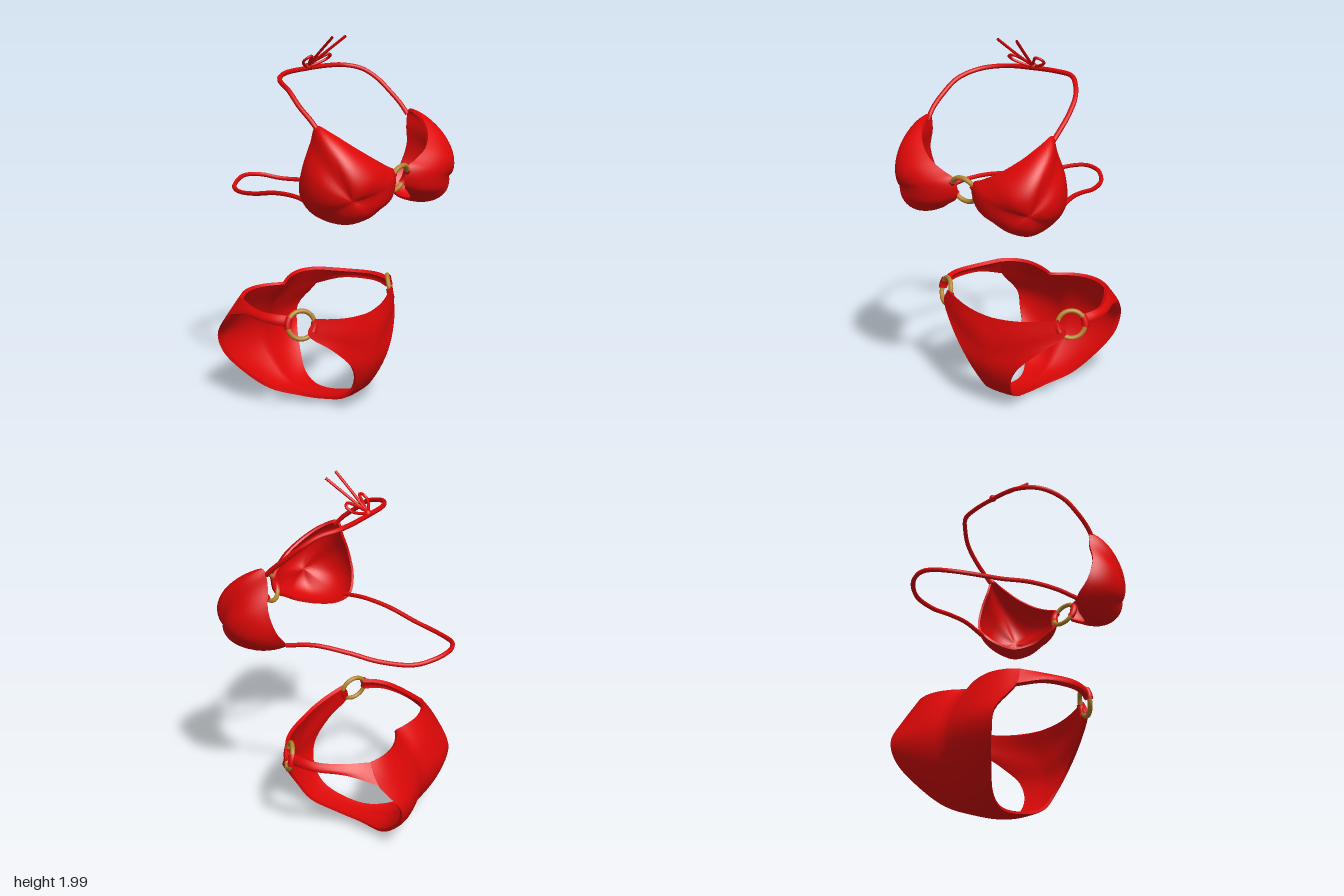
import * as THREE from 'three';
import { mergeGeometries, toCreasedNormals } from 'three/addons/utils/BufferGeometryUtils.js';

const V = (p) => new THREE.Vector3(...p);
const red = new THREE.MeshStandardMaterial({ color: 0xdd0707, side: THREE.DoubleSide });
red.name = 'red fabric';
const brass = new THREE.MeshStandardMaterial({ color: 0xb5832c });
brass.name = 'brass';

// Quad surface through rows of points
function grid(rows) {
  const n = rows[0].length, pos = [], idx = [];
  rows.forEach((r) => r.forEach((p) => pos.push(p.x, p.y, p.z)));
  for (let i = 0; i < rows.length - 1; i++)
    for (let j = 0; j < n - 1; j++) {
      const a = i * n + j, b = a + n;
      idx.push(a, b, a + 1, b, b + 1, a + 1);
    }
  const g = new THREE.BufferGeometry();
  g.setAttribute('position', new THREE.Float32BufferAttribute(pos, 3));
  g.setIndex(idx);
  return g;
}

// Cloth with thickness: outer face, inner face shrunk towards a centre, and rims
function shell(rows, centre, k) {
  const inner = rows.map((r) => r.map((p) => p.clone().sub(centre).multiplyScalar(k).add(centre)));
  const last = rows.length - 1, col = rows[0].length - 1;
  const parts = [
    grid(rows), grid(inner.map((r) => [...r].reverse())),
    grid([inner[0], rows[0]]), grid([rows[last], inner[last]]),
    grid(rows.map((r, i) => [inner[i][0], r[0]])),
    grid(rows.map((r, i) => [r[col], inner[i][col]])),
  ];
  return toCreasedNormals(mergeGeometries(parts), 0.8);
}

function mesh(name, geo, mat, parent) {
  const m = new THREE.Mesh(geo, mat);
  m.name = name;
  parent.add(m);
  return m;
}

function cord(name, pts, r, parent, closed = false) {
  const curve = new THREE.CatmullRomCurve3(pts.map(V), closed);
  return mesh(name, new THREE.TubeGeometry(curve, pts.length * 6, r, 8, closed), red, parent);
}

// Brass ring with fabric sleeves wrapped round it at the given angles
function ring(name, at, normal, angles, arc, parent) {
  const g = new THREE.Group();
  g.name = name;
  g.position.set(...at);
  g.quaternion.setFromUnitVectors(new THREE.Vector3(0, 0, 1), V(normal).normalize());
  mesh('ringMetal', new THREE.TorusGeometry(0.072, 0.0125, 10, 32), brass, g);
  for (const a of angles)
    mesh('ringSleeve', new THREE.TorusGeometry(0.072, 0.019, 10, 10, arc), red, g).rotation.z = a - arc / 2;
  parent.add(g);
}

// Cup opening, measured from the middle of the top
const cupEdge = [
  [0.39, 1.6, 0.28], [0.372, 1.57, 0.36], [0.32, 1.51, 0.44], [0.22, 1.437, 0.5], [0.12, 1.387, 0.505],
  [0.06, 1.36, 0.5], [0.045, 1.31, 0.495], [0.06, 1.25, 0.485], [0.12, 1.21, 0.465],
  [0.19, 1.165, 0.435], [0.27, 1.13, 0.35], [0.31, 1.14, 0.25], [0.35, 1.18, 0.19],
  [0.42, 1.27, 0.2], [0.437, 1.4, 0.235], [0.4, 1.52, 0.255],
];
function cup(side) {
  const place = (p) => new THREE.Vector3(-0.02 + side * p.x, p.y, p.z + 0.05 * side * p.x);
  const curve = new THREE.CatmullRomCurve3(cupEdge.map(V), true);
  const c = new THREE.Vector3(0.27, 1.33, 0.35), d = new THREE.Vector3(0.145, -0.07, 0.168);
  const rows = [];
  for (let i = 0; i <= 64; i++) {
    const b = curve.getPoint(i / 64).sub(c), row = [];
    for (let j = 0; j <= 14; j++) {
      const a = (j / 14) * Math.PI / 2;
      row.push(place(c.clone().addScaledVector(b, Math.cos(a)).addScaledVector(d, Math.sin(a))));
    }
    rows.push(row);
  }
  return shell(rows, place(c), 0.94);
}

// Brief stations from front waist to back waist: centre, middle and leg edge
const stations = [
  [[0, 0.555, 0.3], [0.19, 0.57, 0.28], [0.36, 0.6, 0.215]],
  [[0, 0.45, 0.325], [0.2, 0.49, 0.295], [0.4, 0.525, 0.2]],
  [[0, 0.36, 0.335], [0.14, 0.39, 0.315], [0.29, 0.42, 0.275]],
  [[0, 0.27, 0.335], [0.09, 0.28, 0.328], [0.17, 0.3, 0.318]],
  [[0, 0.17, 0.295], [0.055, 0.17, 0.293], [0.105, 0.18, 0.29]],
  [[0, 0.075, 0.215], [0.043, 0.076, 0.215], [0.085, 0.08, 0.215]],
  [[0, 0.02, 0.05], [0.035, 0.021, 0.05], [0.07, 0.027, 0.05]],
  [[0, 0.006, -0.1], [0.045, 0.007, -0.1], [0.085, 0.015, -0.1]],
  [[0, 0.035, -0.25], [0.08, 0.03, -0.25], [0.16, 0.045, -0.25]],
  [[0, 0.125, -0.35], [0.13, 0.12, -0.365], [0.25, 0.145, -0.36]],
  [[0, 0.24, -0.42], [0.18, 0.24, -0.445], [0.325, 0.265, -0.44]],
  [[0, 0.35, -0.435], [0.2, 0.36, -0.467], [0.355, 0.37, -0.455]],
  [[0, 0.48, -0.39], [0.22, 0.49, -0.415], [0.4, 0.52, -0.345]],
  [[0, 0.62, -0.275], [0.2, 0.633, -0.335], [0.365, 0.625, -0.28]],
];
function briefPanel() {
  const [c, m, e] = [0, 1, 2].map((k) => new THREE.CatmullRomCurve3(stations.map((s) => V(s[k]))));
  const n = stations.length - 1, rows = [];
  // Sample by station so the three curves stay in step
  for (let i = 0; i <= n * 5; i++) {
    const t = i / (n * 5), [a, b, d] = [c, m, e].map((q) => q.getPoint(t)), row = [];
    for (let j = -10; j <= 10; j++) {
      const u = Math.abs(j) / 10;
      const p = a.clone().multiplyScalar((1 - u) * (1 - 2 * u))
        .addScaledVector(b, 4 * u * (1 - u)).addScaledVector(d, u * (2 * u - 1));
      p.x *= Math.sign(j);
      row.push(p);
    }
    rows.push(row);
  }
  return rows;
}

// Hip band: upper and lower edges running from the back panel to the ring
const hipTop = [[0.365, 0.625, -0.28], [0.43, 0.62, -0.16], [0.475, 0.62, -0.03], [0.472, 0.622, 0.05], [0.45, 0.62, 0.12]];
const hipLow = [[0.4, 0.52, -0.345], [0.455, 0.57, -0.19], [0.5, 0.577, -0.03], [0.495, 0.575, 0.05], [0.468, 0.565, 0.125]];
function hipBand(side) {
  const [a, b] = [hipTop, hipLow].map((l) => new THREE.CatmullRomCurve3(l.map(V)));
  const rows = [];
  for (let i = 0; i <= 24; i++) {
    const p = a.getPoint(i / 24), q = b.getPoint(i / 24), row = [];
    // The band bows outwards away from its seam
    const bow = 0.012 * Math.min(1, i / 8);
    for (let j = 0; j <= 4; j++) {
      const v = p.clone().lerp(q, j / 4);
      v.x = side * (v.x + bow * Math.sin((j / 4) * Math.PI));
      row.push(v);
    }
    rows.push(row);
  }
  return rows;
}

export function createModel() {
  const model = new THREE.Group();
  const top = new THREE.Group(), bottom = new THREE.Group();
  top.name = 'bikiniTop';
  bottom.name = 'bikiniBottom';
  model.add(top, bottom);

  // Cups and centre ring
  mesh('leftCup', cup(1), red, top);
  mesh('rightCup', cup(-1), red, top);
  ring('centreRing', [-0.025, 1.308, 0.488], [0, -0.35, 0.94], [0, Math.PI], 1.2, top);

  // Neck strap and back strap
  cord('neckStrap', [
    [-0.41, 1.57, 0.28], [-0.412, 1.62, 0.235], [-0.405, 1.68, 0.16], [-0.375, 1.75, 0.07], [-0.31, 1.79, -0.04],
    [-0.19, 1.81, -0.1], [0, 1.82, -0.098], [0.15, 1.823, -0.08], [0.25, 1.82, -0.05],
    [0.32, 1.8, 0.02], [0.365, 1.75, 0.09], [0.378, 1.68, 0.17], [0.375, 1.62, 0.24], [0.365, 1.57, 0.29],
  ], 0.0125, top);
  cord('backStrap', [
    [-0.355, 1.19, 0.2], [-0.32, 1.208, 0.07], [-0.28, 1.2, -0.1], [-0.235, 1.165, -0.28], [-0.19, 1.15, -0.42],
    [-0.12, 1.155, -0.52], [-0.02, 1.18, -0.565], [0.05, 1.187, -0.575], [0.14, 1.178, -0.54],
    [0.21, 1.155, -0.45], [0.26, 1.16, -0.28], [0.29, 1.19, -0.12], [0.325, 1.212, 0.05], [0.345, 1.19, 0.2],
  ], 0.012, top);

  // Bow behind the neck
  const knot = mesh('bowKnot', new THREE.SphereGeometry(0.02, 12, 8), red, top);
  knot.position.set(-0.005, 1.828, -0.095);
  for (const s of [1, -1]) {
    const x = (d) => -0.007 + s * d;
    cord('bowLoop', [
      [x(0), 1.83, -0.095], [x(0.05), 1.84, -0.075], [x(0.1), 1.865, -0.045], [x(0.1), 1.885, -0.02],
      [x(0.07), 1.893, -0.015], [x(0.035), 1.87, -0.05],
    ], 0.0075, top, true);
    cord('bowTail', [[x(0), 1.83, -0.095], [x(0.03) - 0.01, 1.91, 0.01], [x(0.058) - 0.015, 1.994, 0.118]], 0.0075, top);
  }

  // Briefs with a ring on each hip
  const core = new THREE.Vector3(0, 0.33, -0.05);
  mesh('briefPanel', shell(briefPanel(), core, 0.955), red, bottom);
  for (const [s, name] of [[1, 'left'], [-1, 'right']]) {
    mesh(name + 'HipBand', shell(hipBand(s), core, 0.955), red, bottom);
    const outer = s > 0 ? 0.3 : Math.PI - 0.3;
    ring(name + 'HipRing', [s * 0.408, 0.57, 0.165], [s * 0.55, 0.2, 0.8], [outer, outer + Math.PI], 0.8, bottom);
  }
  return model;
}
